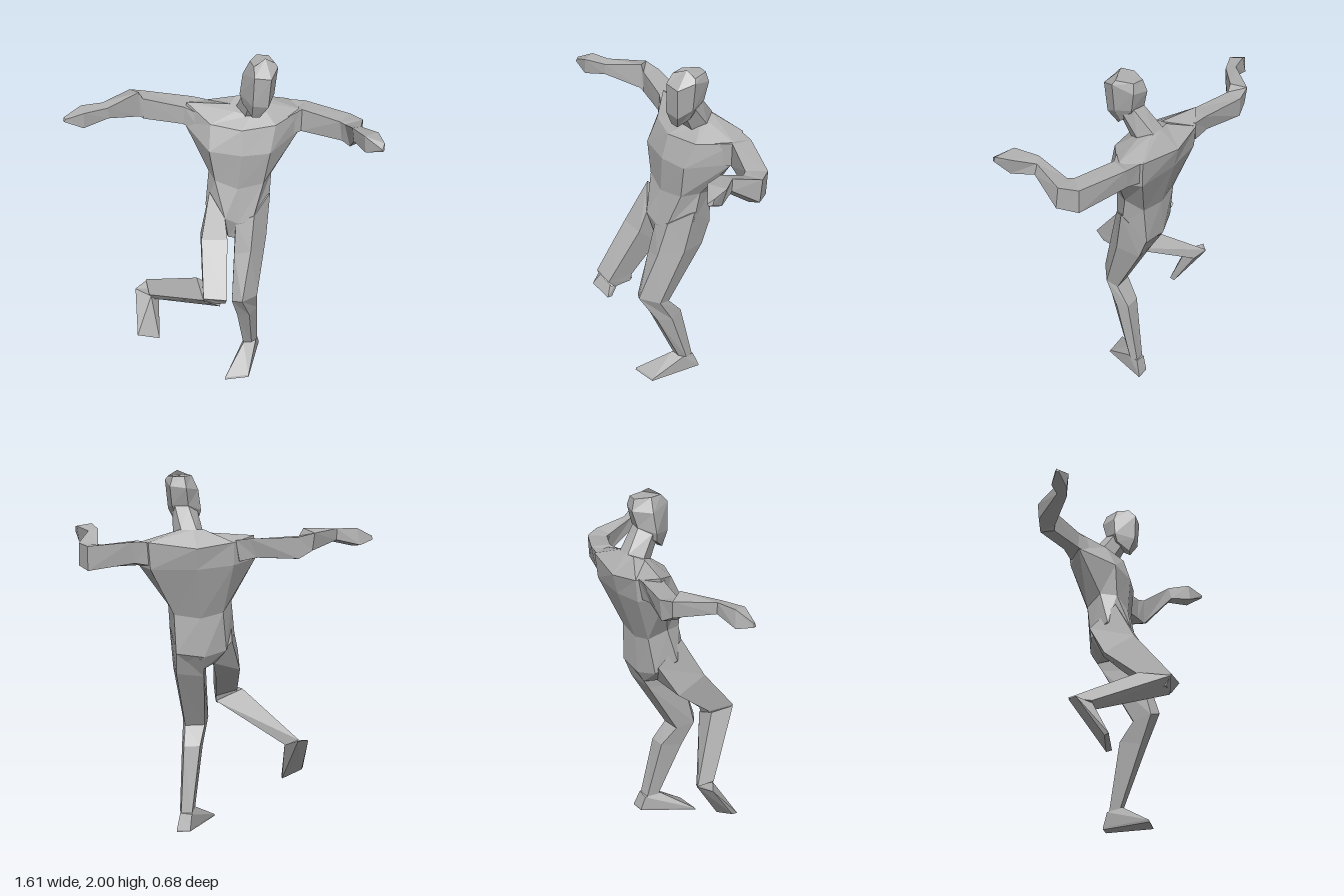
import * as THREE from 'three';

const grey = new THREE.MeshStandardMaterial({ color: 0xb0b0b0, flatShading: true });
grey.name = 'plain grey';

// Skins a list of cross-sections (equal point counts) and closes both ends.
function loft(name, rings) {
  const n = rings[0].length;
  const pos = rings.flat(2);
  const idx = [];
  for (let r = 0; r < rings.length - 1; r++) {
    for (let i = 0; i < n; i++) {
      const a = r * n + i, b = r * n + (i + 1) % n;
      idx.push(a, b, b + n, a, b + n, a + n);
    }
  }
  const last = (rings.length - 1) * n;
  for (let i = 1; i < n - 1; i++) {
    idx.push(0, i + 1, i, last, last + i, last + i + 1);
  }
  // Turn the faces outward when the sections run the other way round.
  const p = (i) => new THREE.Vector3().fromArray(pos, i * 3);
  let volume = 0;
  for (let i = 0; i < idx.length; i += 3) {
    volume += p(idx[i]).dot(p(idx[i + 1]).cross(p(idx[i + 2])));
  }
  if (volume < 0) idx.reverse();
  const indexed = new THREE.BufferGeometry();
  indexed.setAttribute('position', new THREE.Float32BufferAttribute(pos, 3));
  indexed.setIndex(idx);
  const geometry = indexed.toNonIndexed();
  geometry.computeVertexNormals();
  const mesh = new THREE.Mesh(geometry, grey);
  mesh.name = name;
  return mesh;
}

export function createModel() {
  const figure = new THREE.Group();
  figure.name = 'lowPolyFigure';
  const add = (name, ...rings) => figure.add(loft(name, rings));

  // Torso: pelvis, hips, waist, chest, shoulders, neck base
  add('torso',
    [[0.05, 0.95, 0.03], [0.08, 0.95, 0.04], [0.13, 0.96, 0.03], [0.17, 0.98, -0.04],
      [0.17, 0.97, -0.15], [0.1, 0.95, -0.15], [0.04, 0.97, -0.1], [0.03, 0.98, -0.03]],
    [[0.03, 1.1, 0.07], [0.1, 1.06, 0.065], [0.18, 1.07, 0.06], [0.28, 1.12, -0.05],
      [0.25, 1.04, -0.19], [0.1, 1.02, -0.19], [-0.02, 1.05, -0.15], [-0.07, 1.12, -0.04]],
    [[-0.02, 1.3, 0.0], [0.1, 1.26, 0.03], [0.24, 1.28, 0.01], [0.29, 1.29, -0.08],
      [0.26, 1.25, -0.18], [0.12, 1.23, -0.19], [0.0, 1.26, -0.18], [-0.05, 1.31, -0.09]],
    [[-0.05, 1.48, 0.0], [0.12, 1.47, 0.04], [0.27, 1.47, 0.02], [0.44, 1.51, -0.15],
      [0.38, 1.5, -0.26], [0.14, 1.5, -0.28], [-0.05, 1.52, -0.27], [-0.17, 1.55, -0.18]],
    [[-0.04, 1.61, -0.06], [0.12, 1.6, 0.0], [0.3, 1.61, -0.03], [0.45, 1.63, -0.16],
      [0.39, 1.64, -0.27], [0.14, 1.61, -0.305], [-0.05, 1.64, -0.28], [-0.16, 1.67, -0.2]],
    [[0.09, 1.66, -0.1], [0.17, 1.65, -0.07], [0.25, 1.66, -0.1], [0.27, 1.68, -0.15],
      [0.23, 1.7, -0.2], [0.16, 1.7, -0.21], [0.1, 1.7, -0.2], [0.07, 1.68, -0.15]]);

  // Neck leaning forward into the skull
  add('neck',
    [[0.14, 1.63, -0.08], [0.22, 1.63, -0.08], [0.26, 1.67, -0.14], [0.22, 1.7, -0.21],
      [0.14, 1.7, -0.21], [0.1, 1.67, -0.14]],
    [[0.16, 1.74, -0.02], [0.23, 1.74, -0.02], [0.265, 1.79, -0.05], [0.25, 1.82, -0.11],
      [0.18, 1.82, -0.12], [0.13, 1.79, -0.06]]);

  // Head: chin, cheeks, brow, crown
  add('head',
    [[0.17, 1.69, 0.02], [0.21, 1.685, 0.015], [0.25, 1.73, -0.03], [0.24, 1.77, -0.09],
      [0.18, 1.77, -0.1], [0.125, 1.74, -0.04]],
    [[0.17, 1.77, 0.055], [0.25, 1.76, 0.05], [0.285, 1.8, -0.02], [0.265, 1.82, -0.11],
      [0.18, 1.82, -0.125], [0.11, 1.79, -0.05]],
    [[0.175, 1.93, 0.06], [0.26, 1.92, 0.06], [0.3, 1.95, -0.02], [0.275, 1.92, -0.13],
      [0.19, 1.91, -0.15], [0.125, 1.9, -0.06]],
    [[0.175, 1.975, 0.02], [0.235, 2.0, -0.02], [0.285, 1.97, -0.03], [0.26, 1.97, -0.12],
      [0.2, 1.97, -0.13], [0.16, 1.975, -0.05]]);

  // Right arm, stretched sideways: shoulder, elbow, wrist, palm, fingertips
  add('rightArm',
    [[-0.04, 1.62, -0.1], [-0.06, 1.65, -0.27], [-0.08, 1.54, -0.26], [-0.08, 1.52, -0.1]],
    [[-0.17, 1.65, -0.18], [-0.13, 1.66, -0.285], [-0.17, 1.56, -0.27], [-0.18, 1.55, -0.18]],
    [[-0.39, 1.67, -0.25], [-0.37, 1.67, -0.34], [-0.38, 1.56, -0.335], [-0.39, 1.55, -0.25]],
    [[-0.41, 1.71, -0.25], [-0.46, 1.69, -0.325], [-0.45, 1.6, -0.32], [-0.41, 1.57, -0.24]],
    [[-0.57, 1.69, -0.12], [-0.6, 1.7, -0.165], [-0.6, 1.64, -0.165], [-0.57, 1.63, -0.12]]);
  add('rightHand',
    [[-0.57, 1.69, -0.12], [-0.6, 1.7, -0.165], [-0.6, 1.64, -0.165], [-0.57, 1.63, -0.12]],
    [[-0.69, 1.69, -0.07], [-0.71, 1.7, -0.14], [-0.73, 1.61, -0.15], [-0.7, 1.6, -0.075]],
    [[-0.79, 1.65, -0.085], [-0.8, 1.655, -0.1], [-0.805, 1.635, -0.1], [-0.8, 1.635, -0.085]]);

  // Left arm, bent forward at the elbow
  add('leftArm',
    [[0.36, 1.62, -0.09], [0.39, 1.64, -0.26], [0.38, 1.52, -0.25], [0.37, 1.5, -0.1]],
    [[0.45, 1.64, -0.14], [0.48, 1.64, -0.24], [0.46, 1.53, -0.23], [0.45, 1.51, -0.14]],
    [[0.64, 1.61, -0.05], [0.71, 1.61, -0.135], [0.71, 1.48, -0.13], [0.66, 1.49, -0.06]],
    [[0.66, 1.61, -0.02], [0.76, 1.62, -0.05], [0.765, 1.5, -0.035], [0.7, 1.47, -0.03]],
    [[0.67, 1.68, 0.14], [0.72, 1.67, 0.11], [0.73, 1.61, 0.12], [0.68, 1.61, 0.155]]);
  add('leftHand',
    [[0.67, 1.68, 0.14], [0.72, 1.67, 0.11], [0.73, 1.61, 0.12], [0.68, 1.61, 0.155]],
    [[0.71, 1.7, 0.26], [0.79, 1.69, 0.21], [0.78, 1.6, 0.23], [0.72, 1.61, 0.265]],
    [[0.79, 1.66, 0.33], [0.805, 1.68, 0.3], [0.805, 1.65, 0.31], [0.795, 1.645, 0.325]]);

  // Left leg, standing: hip, thigh, knee, calf, ankle
  add('leftLeg',
    [[0.09, 1.06, 0.06], [0.19, 1.1, 0.055], [0.285, 1.18, -0.05], [0.25, 1.05, -0.19], [0.1, 1.0, -0.18]],
    [[0.08, 0.88, 0.1], [0.17, 0.9, 0.11], [0.265, 0.93, 0.0], [0.25, 0.92, -0.14], [0.1, 0.9, -0.12]],
    [[0.065, 0.6, 0.165], [0.12, 0.62, 0.2], [0.21, 0.6, 0.12], [0.2, 0.58, 0.05], [0.09, 0.58, 0.06]],
    [[0.1, 0.45, 0.1], [0.17, 0.45, 0.11], [0.22, 0.45, 0.04], [0.21, 0.48, -0.03], [0.12, 0.48, -0.025]],
    [[0.15, 0.12, -0.03], [0.2, 0.12, -0.03], [0.235, 0.12, -0.06], [0.23, 0.1, -0.11], [0.17, 0.1, -0.1]]);
  add('leftFoot',
    [[0.15, 0.125, -0.02], [0.225, 0.12, -0.04], [0.235, 0.12, -0.11], [0.17, 0.11, -0.11]],
    [[0.03, 0.012, 0.155], [0.17, 0.012, 0.14], [0.255, 0.03, -0.14], [0.18, 0.03, -0.135]],
    [[0.03, 0.0, 0.16], [0.17, 0.0, 0.145], [0.255, 0.02, -0.14], [0.18, 0.02, -0.135]]);

  // Right leg, lifted forward with the shin folded back
  add('rightThigh',
    [[-0.05, 1.23, 0.0], [0.03, 1.1, 0.07], [0.05, 0.97, -0.1], [-0.05, 1.1, -0.15]],
    [[-0.1, 1.0, 0.12], [0.04, 1.0, 0.13], [0.03, 0.87, 0.0], [-0.1, 0.92, -0.05]],
    [[-0.1, 0.75, 0.32], [0.025, 0.745, 0.335], [0.02, 0.72, 0.17], [-0.1, 0.76, 0.15]],
    [[-0.09, 0.69, 0.29], [0.02, 0.69, 0.29], [0.02, 0.68, 0.18], [-0.09, 0.66, 0.18]]);
  add('rightShin',
    [[-0.1, 0.74, 0.32], [-0.01, 0.67, 0.29], [0.02, 0.69, 0.17], [-0.13, 0.765, 0.15]],
    [[-0.4, 0.52, -0.02], [-0.37, 0.48, -0.03], [-0.35, 0.5, -0.1], [-0.42, 0.54, -0.14]]);
  add('rightFoot',
    [[-0.48, 0.52, -0.08], [-0.415, 0.535, -0.14], [-0.345, 0.5, -0.1], [-0.39, 0.51, -0.02]],
    [[-0.475, 0.31, 0.09], [-0.465, 0.305, 0.065], [-0.35, 0.26, 0.04], [-0.35, 0.265, 0.07]]);

  return figure;
}
